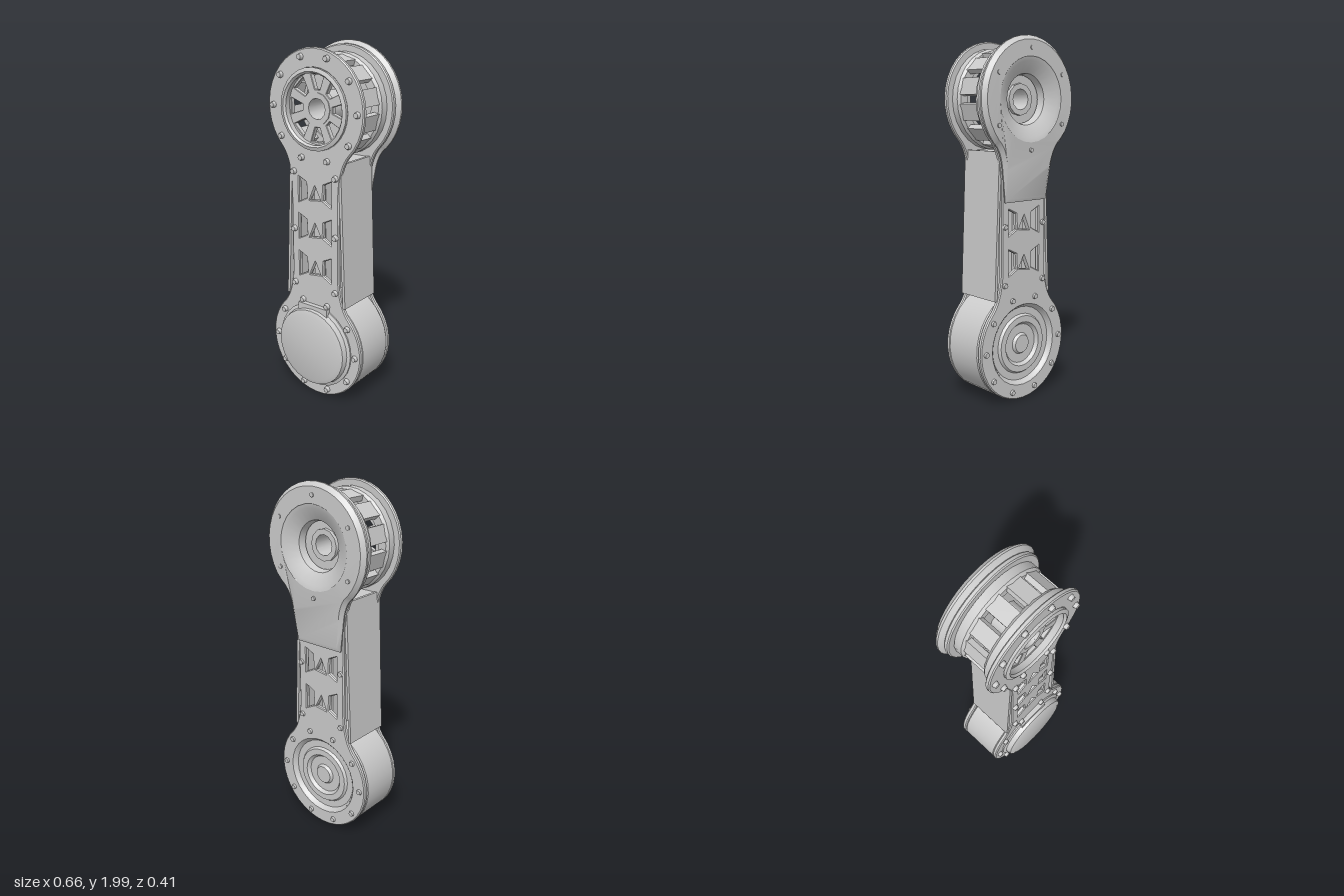
import * as THREE from 'three';
import { toCreasedNormals } from 'three/addons/utils/BufferGeometryUtils.js';

const MAT = new THREE.MeshStandardMaterial({ color: 0xcccccc, side: THREE.DoubleSide });
const LOW = 0.325, HIGH = 1.67; // heights of the two joint centres
const PI = Math.PI;

function add(parent, name, geo, x = 0, y = 0, z = 0) {
  const mesh = new THREE.Mesh(geo, MAT);
  mesh.name = name;
  mesh.position.set(x, y, z);
  parent.add(mesh);
  return mesh;
}

// Extrude a shape between two z values, with a small bevel
function slab(shape, z0, z1, bevel = 0.006) {
  const geo = new THREE.ExtrudeGeometry(shape, {
    depth: z1 - z0 - 2 * bevel, bevelEnabled: bevel > 0, bevelThickness: bevel,
    bevelSize: bevel, bevelOffset: -bevel, bevelSegments: 1, curveSegments: 14,
  });
  geo.translate(0, 0, z0 + bevel);
  return toCreasedNormals(geo, 0.6);
}

// Turned part about the z axis from [radius, z] pairs
function turned(profile, segments = 28) {
  const geo = new THREE.LatheGeometry(profile.map(([r, z]) => new THREE.Vector2(r, z)), segments);
  geo.rotateX(PI / 2);
  return toCreasedNormals(geo, 0.6);
}

function circleHole(shape, y, r) {
  shape.holes.push(new THREE.Path().absarc(0, y, r, 0, 2 * PI, true));
}

function polyHole(shape, pts) {
  shape.holes.push(new THREE.Path(pts.map(([x, y]) => new THREE.Vector2(x, y))));
}

// Dumbbell outline with truss openings along the shaft
function plateShape(r) {
  const s = new THREE.Shape(), k = r * Math.SQRT1_2;
  s.moveTo(0.16, 0.76);
  s.lineTo(0.16, 1.24);
  s.quadraticCurveTo(0.165, 1.38, k, HIGH - k);
  s.absarc(0, HIGH, r, -PI / 4, 1.25 * PI, false);
  s.quadraticCurveTo(-0.165, 1.38, -0.16, 1.24);
  s.lineTo(-0.16, 0.76);
  s.quadraticCurveTo(-0.165, 0.62, -k, LOW + k);
  s.absarc(0, LOW, r, 0.75 * PI, 2.25 * PI, false);
  s.quadraticCurveTo(0.165, 0.62, 0.16, 0.76);
  for (const y of [0.8, 1.02, 1.23]) {
    for (const m of [-1, 1]) {
      polyHole(s, [[m * 0.11, y - 0.07], [m * 0.11, y + 0.07], [m * 0.06, y + 0.045], [m * 0.055, y - 0.04]]);
    }
    polyHole(s, [[-0.035, y - 0.05], [0.035, y - 0.04], [0, y + 0.03]]);
  }
  circleHole(s, HIGH, 0.21);
  circleHole(s, LOW, 0.225);
  return s;
}

// Screw heads round each joint and down the shaft; dir is the facing side
function addBolts(parent, dir) {
  const head = new THREE.CylinderGeometry(0.014, 0.019, 0.022, 8).rotateX(dir * PI / 2);
  const spots = [];
  for (let i = 0; i < 10; i++) {
    const a = i * PI / 5, c = 0.275 * Math.cos(a), s = 0.275 * Math.sin(a);
    spots.push([c, LOW + s]);
    if (dir > 0) spots.push([c, HIGH + s]);
  }
  for (const x of [-0.14, 0.14]) for (const y of [0.68, 1.0, 1.325]) {
    if (dir > 0 || y < 1.1) spots.push([x, y]);
  }
  for (const [x, y] of spots) add(parent, 'bolt', head, x, y, dir * 0.15);
}

// Upper joint: windowed drum with a spoked hub
function upperJoint() {
  const g = new THREE.Group();
  g.name = 'upperJoint';
  g.position.y = HIGH;
  for (const m of [-1, 1]) {
    const rim = [[0.215, 0.06], [0.262, 0.06], [0.275, 0.075], [0.275, 0.12], [0.215, 0.12], [0.215, 0.06]];
    add(g, 'drumRim', turned(rim.map(([r, z]) => [r, m * z])));
  }
  for (let i = 0; i < 12; i++) {
    const a = (i + 0.5) * PI / 6;
    const post = add(g, 'drumPost', new THREE.BoxGeometry(0.03, 0.09, 0.14), 0.247 * Math.cos(a), 0.247 * Math.sin(a), 0);
    post.rotation.z = a;
  }
  // Front disc with two rings of openings
  const disc = new THREE.Shape().absarc(0, 0, 0.22, 0, 2 * PI, false);
  circleHole(disc, 0, 0.055);
  const at = (r, a) => [r * Math.cos(a), r * Math.sin(a)];
  for (let i = 0; i < 8; i++) {
    const a = i * PI / 4;
    polyHole(disc, [at(0.18, a - 0.24), at(0.18, a + 0.24), at(0.1, a + 0.16), at(0.1, a - 0.16)]);
  }
  add(g, 'spokedDisc', slab(disc, 0.085, 0.115, 0.003));
  const back = new THREE.Shape().absarc(0, 0, 0.22, 0, 2 * PI, false);
  circleHole(back, 0, 0.055);
  add(g, 'rearDisc', slab(back, -0.1, -0.07, 0.003));
  add(g, 'hub', turned([[0.055, -0.12], [0.085, -0.12], [0.085, 0.12], [0.055, 0.12], [0.055, -0.12]], 12));
  add(g, 'frontLip', turned([[0.21, 0.12], [0.215, 0.155], [0.195, 0.162], [0.185, 0.15], [0.19, 0.11]]));
  return g;
}

// Rear cover: round head thinning into a tapered tongue
function rearCover() {
  const g = new THREE.Group();
  g.name = 'rearCover';
  const s = new THREE.Shape(), r = 0.33;
  s.moveTo(-0.15, 1.13);
  s.lineTo(0.15, 1.13);
  s.lineTo(0.175, 1.3);
  s.quadraticCurveTo(0.19, 1.41, r * Math.cos(0.75), HIGH - r * Math.sin(0.75));
  s.absarc(0, HIGH, r, -0.75, PI + 0.75, false);
  s.quadraticCurveTo(-0.19, 1.41, -0.175, 1.3);
  s.closePath();
  circleHole(s, HIGH, 0.2);
  let geo = slab(s, -0.205, -0.15, 0.022);
  const p = geo.attributes.position;
  for (let i = 0; i < p.count; i++) {
    const t = THREE.MathUtils.clamp((1.5 - p.getY(i)) / 0.37, 0, 1);
    p.setZ(i, -0.15 + (p.getZ(i) + 0.15) * (1 - 0.6 * t));
  }
  geo.computeVertexNormals();
  geo = toCreasedNormals(geo, 0.6);
  add(g, 'coverShell', geo);
  add(g, 'coverFunnel', turned([[0.225, -0.204], [0.2, -0.198], [0.135, -0.16], [0.125, -0.12]]), 0, HIGH, 0);
  for (let i = 0; i < 6; i++) {
    const a = i * PI / 3 + PI / 6;
    add(g, 'coverBolt', new THREE.CylinderGeometry(0.012, 0.012, 0.01, 8).rotateX(PI / 2),
      0.265 * Math.cos(a), HIGH + 0.265 * Math.sin(a), -0.205);
  }
  return g;
}

// Lower joint: solid housing, domed front cap, stepped rear dish
function lowerJoint() {
  const g = new THREE.Group();
  g.name = 'lowerJoint';
  g.position.y = LOW;
  const a = Math.asin(0.275 / 0.312);
  const body = new THREE.Shape().absarc(0, 0, 0.312, PI - a, 2 * PI + a, false);
  add(g, 'housing', slab(body, -0.12, 0.12));
  add(g, 'frontCap', turned([[0.25, 0.125], [0.25, 0.15], [0.232, 0.158], [0.225, 0.188], [0.2, 0.197], [0, 0.201]]));
  add(g, 'capTab', new THREE.BoxGeometry(0.2, 0.05, 0.03), 0, 0.225, 0.155);
  add(g, 'rearDish', turned([
    [0.225, -0.145], [0.21, -0.125], [0.17, -0.125], [0.16, -0.14], [0.125, -0.14],
    [0.11, -0.122], [0.06, -0.122], [0.05, -0.138], [0, -0.138],
  ]));
  return g;
}

export function createModel() {
  const model = new THREE.Group();
  model.name = 'armLink';

  // Front and rear plates
  const shape = plateShape(0.313);
  add(model, 'frontPlate', slab(shape, 0.115, 0.142));
  add(model, 'rearPlate', slab(shape, -0.15, -0.122));
  addBolts(model, 1);
  addBolts(model, -1);

  // Side walls, leaning outward towards the lower joint
  for (const m of [-1, 1]) {
    const geo = new THREE.BoxGeometry(0.016, 0.8, 0.28, 1, 8, 1);
    const p = geo.attributes.position;
    for (let i = 0; i < p.count; i++) {
      const t = 0.5 - p.getY(i) / 0.8;
      p.setX(i, p.getX(i) + m * (0.162 + 0.034 * t));
    }
    geo.computeVertexNormals();
    add(model, 'sideWall', geo, 0, 1, 0);
  }

  // Inner spine and the cross webs closing the shaft ends
  add(model, 'spine', new THREE.BoxGeometry(0.08, 0.8, 0.19), 0, 1, 0);
  for (const y of [0.61, 1.385]) add(model, 'crossWeb', new THREE.BoxGeometry(0.31, 0.025, 0.24), 0, y, 0);

  model.add(upperJoint(), rearCover(), lowerJoint());
  return model;
}
